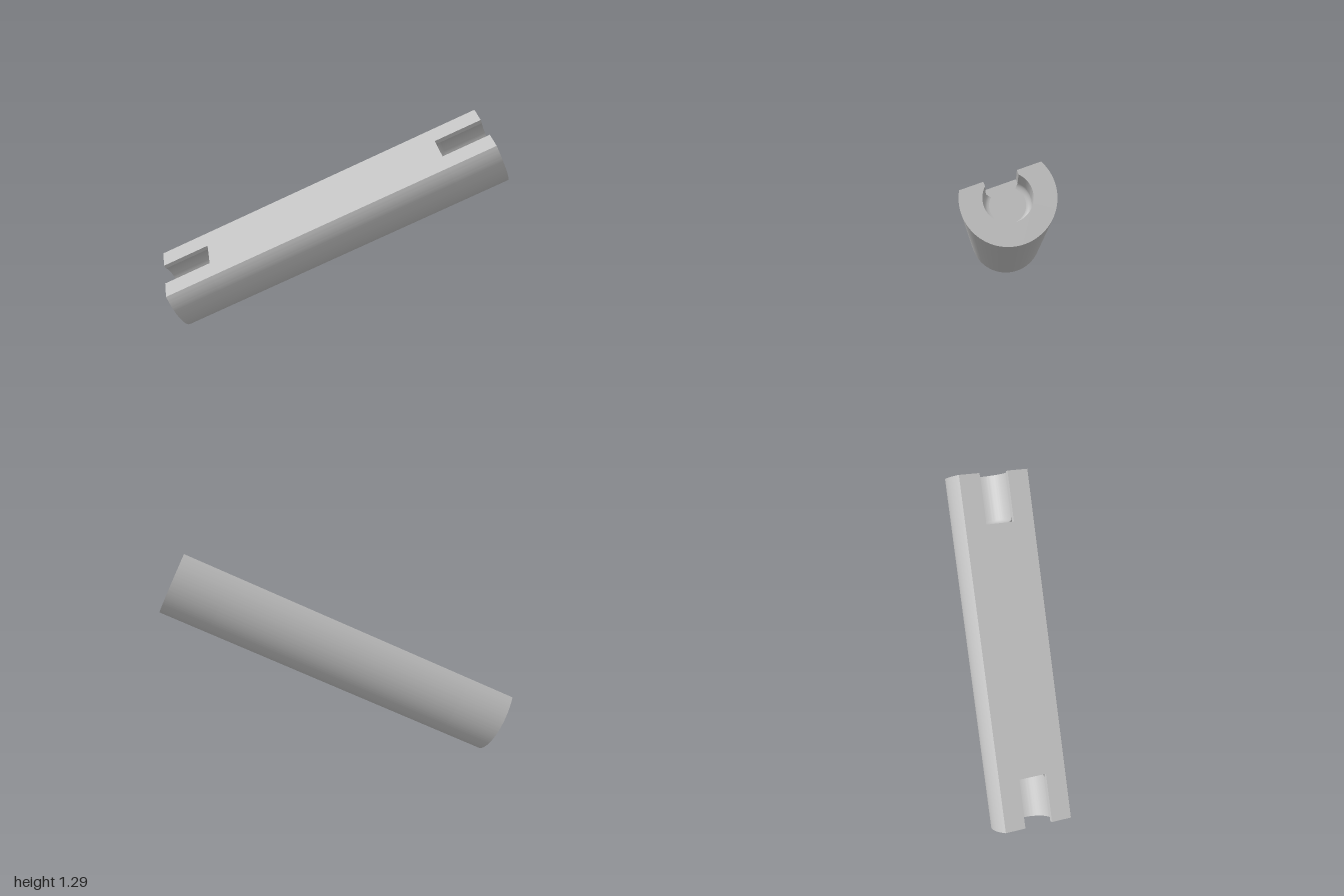
import * as THREE from 'three';
import { toCreasedNormals } from 'three/addons/utils/BufferGeometryUtils.js';

const R = 0.247;       // rod radius
const FLAT = 0.117;    // height of the flat above the axis
const BORE = 0.128;    // bore radius at each end
const SLOT = 0.089;    // half width of the slot opening
const DEPTH = 0.3;     // depth of the end pockets

// Round section with a flat on top, optionally with an open keyhole pocket
function section(open) {
  const a = Math.asin(FLAT / R);
  const s = new THREE.Shape();
  s.absarc(0, 0, R, a, Math.PI - a, true);
  if (open) {
    const b = Math.acos(SLOT / BORE);
    s.lineTo(-SLOT, FLAT);
    s.absarc(0, 0, BORE, Math.PI - b, 2 * Math.PI + b, false);
    s.lineTo(SLOT, FLAT);
  }
  s.closePath();
  return s;
}

export function createModel() {
  const steel = new THREE.MeshStandardMaterial({ color: 0xc0c0c0 });
  steel.name = 'plain grey';
  const rod = new THREE.Group();
  rod.name = 'slottedRod';

  const start = new THREE.Vector3(-0.856, 0.225, 0.443);
  const span = new THREE.Vector3(1.71, 0.9, -0.885);
  const length = span.length();

  function add(name, geometry, z) {
    const mesh = new THREE.Mesh(geometry, steel);
    mesh.name = name;
    mesh.position.z = z;
    rod.add(mesh);
    return mesh;
  }
  const bar = (open, depth) => toCreasedNormals(
    new THREE.ExtrudeGeometry(section(open), { depth, bevelEnabled: false, curveSegments: 64 }), 0.5);

  // Solid middle and the two slotted ends
  add('solidBody', bar(false, length - 2 * DEPTH), DEPTH);
  add('lowerSlottedEnd', bar(true, DEPTH), 0);
  add('upperSlottedEnd', bar(true, DEPTH), length - DEPTH);

  // Rounded corner where each bore meets its end wall
  const f = 0.03;
  const profile = [];
  for (let i = 0; i <= 6; i++) {
    const t = (i / 6) * Math.PI / 2;
    profile.push(new THREE.Vector2(BORE - f + f * Math.sin(t), f - f * Math.cos(t)));
  }
  const half = Math.PI - Math.asin(SLOT / BORE);
  for (const upper of [false, true]) {
    // Sweep about the lower side only, leaving the slot open
    const g = new THREE.LatheGeometry(profile, 40, -half, 2 * half);
    g.rotateX(Math.PI / 2);
    if (!upper) g.rotateY(Math.PI);
    // The gap in the sweep must face the flat
    const p = g.attributes.position;
    let y = 0;
    for (let i = 0; i < p.count; i++) y += p.getY(i);
    if (y > 0) g.rotateZ(Math.PI);
    const mesh = add(upper ? 'upperBoreFillet' : 'lowerBoreFillet', g, upper ? length - DEPTH : DEPTH);
    mesh.material = steel;
  }
  steel.side = THREE.DoubleSide;

  // Lean the rod along its axis with the flat turned upward
  const axis = span.clone().normalize();
  const across = new THREE.Vector3(-0.242, 0.128, -0.33);
  across.addScaledVector(axis, -across.dot(axis)).normalize();
  const up = axis.clone().cross(across);
  rod.quaternion.setFromRotationMatrix(new THREE.Matrix4().makeBasis(across, up, axis));
  rod.position.copy(start);

  const model = new THREE.Group();
  model.name = 'leaningRod';
  model.add(rod);
  return model;
}
